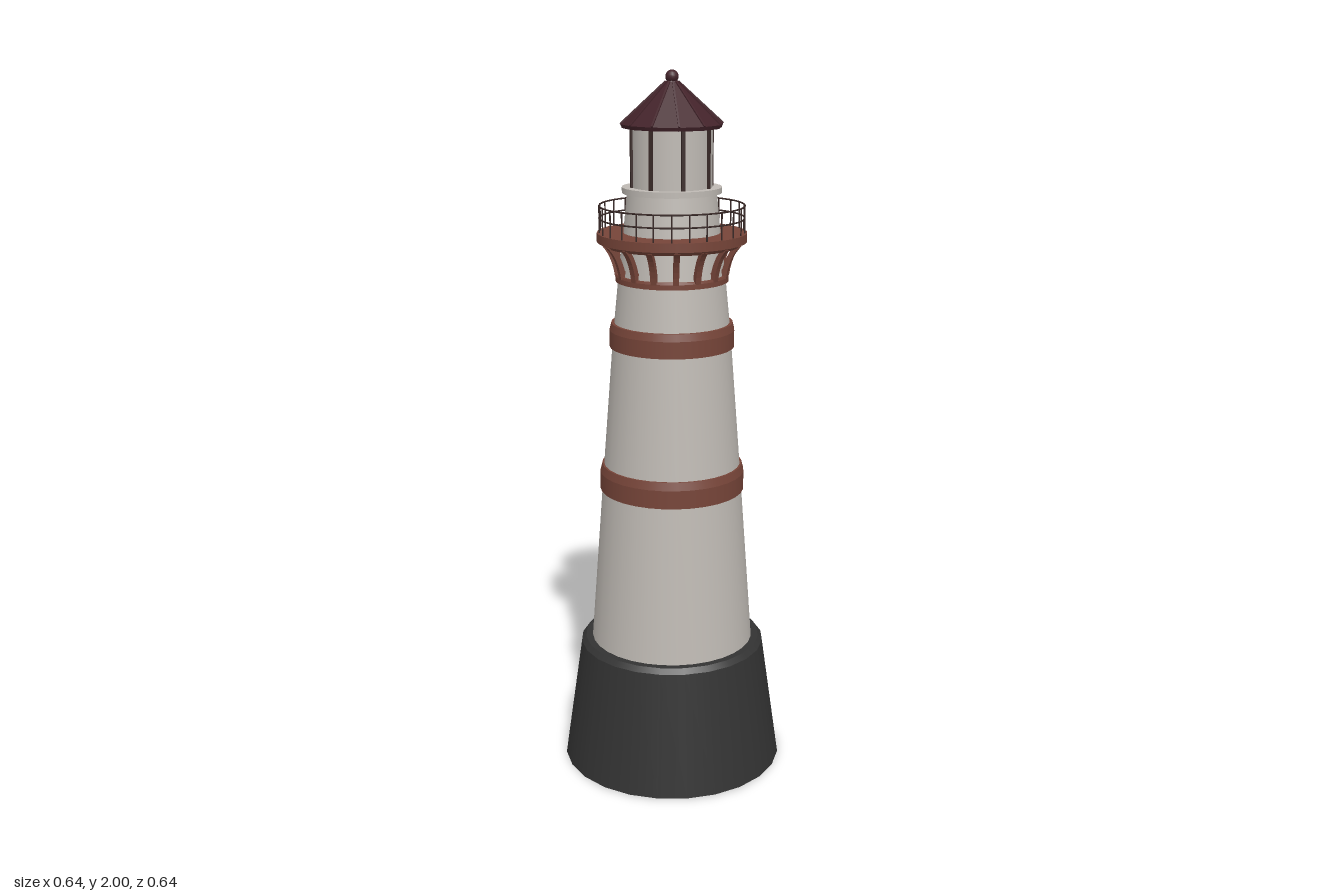
import * as THREE from 'three';

const mat = (name, color, side = THREE.FrontSide) => {
  const m = new THREE.MeshStandardMaterial({ color, side });
  m.name = name;
  return m;
};

export function createModel() {
  const root = new THREE.Group();
  root.name = 'lighthouse';
  const white = mat('weathered white', 0xbfbab4);
  const black = mat('charcoal stone', 0x333333);
  const red = mat('rust red', 0x774539);
  const maroon = mat('roof maroon', 0x43232a);
  const iron = mat('dark iron', 0x3a2a28);

  const add = (name, geo, material, parent = root) => {
    const m = new THREE.Mesh(geo, material);
    m.name = name;
    parent.add(m);
    return m;
  };
  // Smooth turned walls, with separate strips so profile corners stay sharp
  const turned = (name, points, material, segments = 32) => {
    const g = new THREE.Group();
    g.name = name;
    for (let i = 0; i < points.length - 1; i++) {
      const strip = [points[i], points[i + 1]].map(p => new THREE.Vector2(...p));
      add(name + 'Surface', new THREE.LatheGeometry(strip, segments), material, g);
    }
    root.add(g);
    return g;
  };
  // Repeats a part around the tower axis
  const around = (name, count, offset, build) => {
    const g = new THREE.Group();
    g.name = name;
    for (let i = 0; i < count; i++) {
      const arm = new THREE.Group();
      arm.rotation.y = offset + (i / count) * Math.PI * 2;
      build(arm);
      g.add(arm);
    }
    root.add(g);
  };

  // Foundation and tapering tower
  turned('foundation', [[0, 0], [0.32, 0], [0.268, 0.36], [0.255, 0.374], [0.22, 0.374]], black, 24);
  turned('tower', [[0.235, 0.37], [0.198, 0.86], [0.165, 1.28], [0.148, 1.45], [0.138, 1.55]], white);

  // Painted bands standing proud of the wall
  const band = (name, y0, y1, r0, r1) => turned(name, [
    [r0 - 0.03, y0], [r0, y0], [r0, y0 + (y1 - y0) * 0.7], [r1, y1], [r1 - 0.03, y1]], red);
  band('lowerBand', 0.83, 0.905, 0.206, 0.2);
  band('upperBand', 1.247, 1.315, 0.175, 0.17);
  band('bracketBand', 1.432, 1.452, 0.157, 0.155);

  // Gallery deck carried on curved brackets
  turned('galleryDeck', [[0.13, 1.53], [0.188, 1.53], [0.198, 1.541], [0.207, 1.541],
    [0.207, 1.566], [0.1, 1.566]], red);
  const side = new THREE.Shape();
  side.moveTo(0.138, 1.445);
  side.lineTo(0.158, 1.445);
  side.quadraticCurveTo(0.166, 1.505, 0.197, 1.535);
  side.lineTo(0.18, 1.535);
  side.quadraticCurveTo(0.157, 1.51, 0.147, 1.47);
  side.lineTo(0.138, 1.47);
  const bracketGeo = new THREE.ExtrudeGeometry(side, { depth: 0.016, bevelEnabled: false, curveSegments: 6 });
  bracketGeo.translate(0, 0, -0.008);
  around('brackets', 16, Math.PI / 16, arm => add('bracket', bracketGeo, red, arm));

  // Railing
  const postGeo = new THREE.CylinderGeometry(0.0022, 0.0022, 0.078, 5);
  around('railingPosts', 26, 0, arm => add('railingPost', postGeo, iron, arm).position.set(0.2, 1.602, 0));
  for (const y of [1.605, 1.639]) {
    const rail = add('rail', new THREE.TorusGeometry(0.2, 0.0024, 5, 40), iron);
    rail.rotation.x = Math.PI / 2;
    rail.position.y = y;
  }

  // Watch room, its rear doorway and the sill above
  turned('watchRoom', [[0.134, 1.565], [0.123, 1.676]], white);
  add('rearDoorway', new THREE.BoxGeometry(0.08, 0.095, 0.05), white).position.set(0, 1.6125, -0.13);
  turned('lanternSill', [[0.115, 1.674], [0.137, 1.674], [0.137, 1.69], [0.1, 1.69]], white);

  // Lantern room with glazing bars
  turned('lanternRoom', [[0.111, 1.69], [0.111, 1.86]], white);
  const barGeo = new THREE.BoxGeometry(0.01, 0.162, 0.009);
  around('glazingBars', 8, Math.PI / 8, arm => add('glazingBar', barGeo, iron, arm).position.set(0, 1.77, 0.112));

  // Faceted roof with ribs and a ball finial
  const roof = new THREE.CylinderGeometry(0.018, 0.14, 0.11, 12, 1, true).toNonIndexed();
  roof.computeVertexNormals();
  roof.rotateY(Math.PI / 12);
  add('roof', roof, maroon).position.y = 1.913;
  const eave = new THREE.CylinderGeometry(0.14, 0.136, 0.01, 12);
  eave.rotateY(Math.PI / 12);
  add('roofEave', eave, maroon).position.y = 1.853;
  const slope = Math.atan2(0.11, 0.122);
  const ribGeo = new THREE.BoxGeometry(0.005, 0.005, Math.hypot(0.11, 0.122));
  around('roofRibs', 12, Math.PI / 12, arm => {
    const rib = add('roofRib', ribGeo, maroon, arm);
    rib.position.set(0, 1.914, 0.079);
    rib.rotation.x = slope;
  });
  add('finialNeck', new THREE.CylinderGeometry(0.009, 0.018, 0.02, 12), maroon).position.y = 1.973;
  add('finialBall', new THREE.SphereGeometry(0.018, 14, 10), maroon).position.y = 1.982;
  return root;
}
